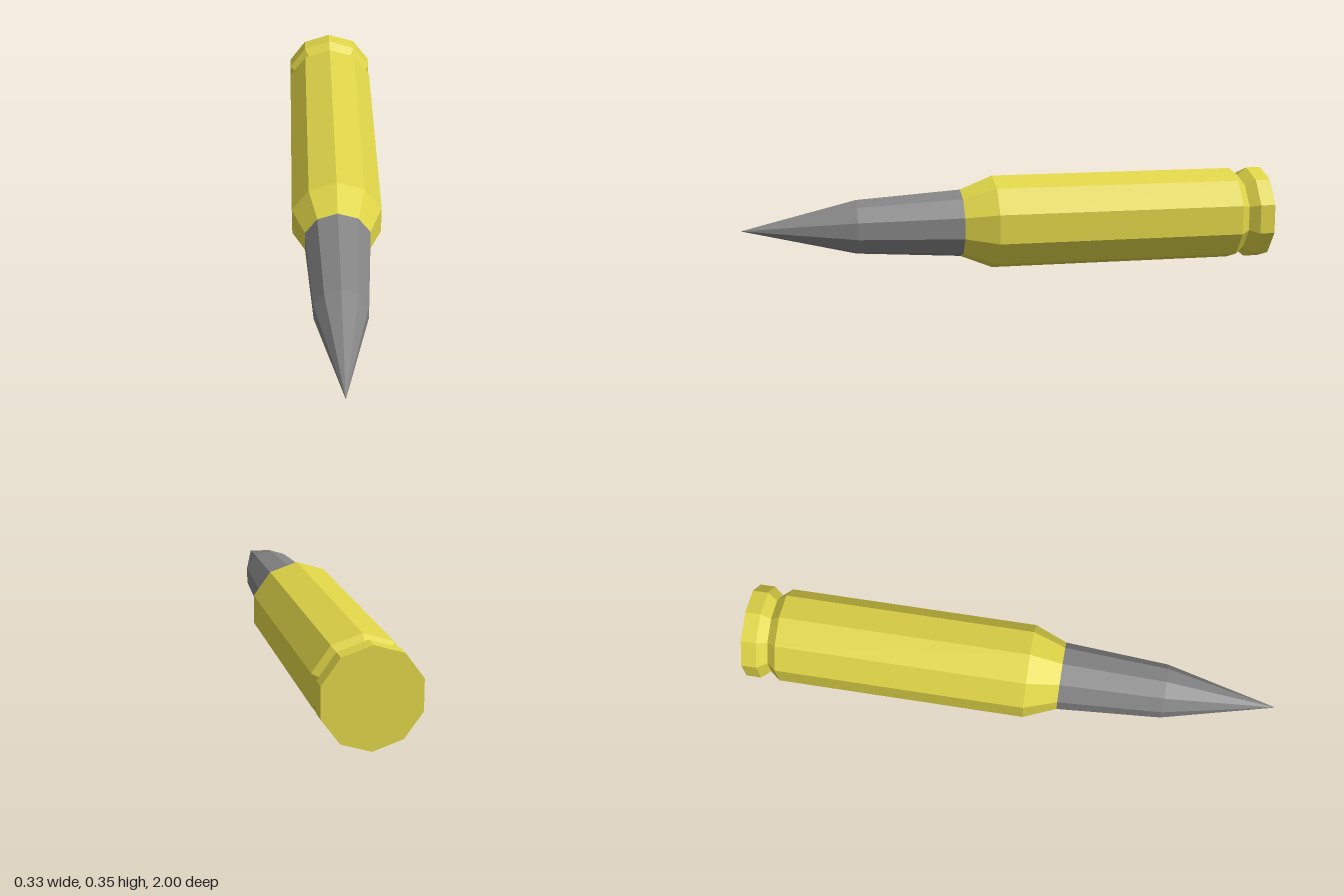
import * as THREE from 'three';

const SIDES = 10;
const RADIUS = 0.176;

// Faceted ten-sided solid along z from [radius, z] pairs, listed back to front
function facetedLathe(name, profile, material) {
  const points = profile.map(([r, z]) => new THREE.Vector2(r, z));
  const geometry = new THREE.LatheGeometry(points, SIDES).rotateX(Math.PI / 2).toNonIndexed();
  geometry.computeVertexNormals(); // flat facets
  const mesh = new THREE.Mesh(geometry, material);
  mesh.name = name;
  mesh.position.y = RADIUS;
  return mesh;
}

export function createModel() {
  const brass = new THREE.MeshStandardMaterial({ color: 0xdfd548 });
  brass.name = 'brass yellow';
  const steel = new THREE.MeshStandardMaterial({ color: 0x858585 });
  steel.name = 'steel grey';

  const model = new THREE.Group();
  model.name = 'cartridge';

  // Casing: flat base, rim, extractor groove, body and sloped shoulder
  model.add(facetedLathe('casing', [
    [0, -1], [RADIUS, -1], [RADIUS, -0.943], [0.147, -0.907],
    [RADIUS, -0.872], [RADIUS, 0.068], [0.127, 0.19],
  ], brass));

  // Bullet: slightly tapered shank and long pointed nose
  model.add(facetedLathe('bulletTip', [
    [0.127, 0.19], [0.101, 0.58], [0, 1],
  ], steel));

  return model;
}
